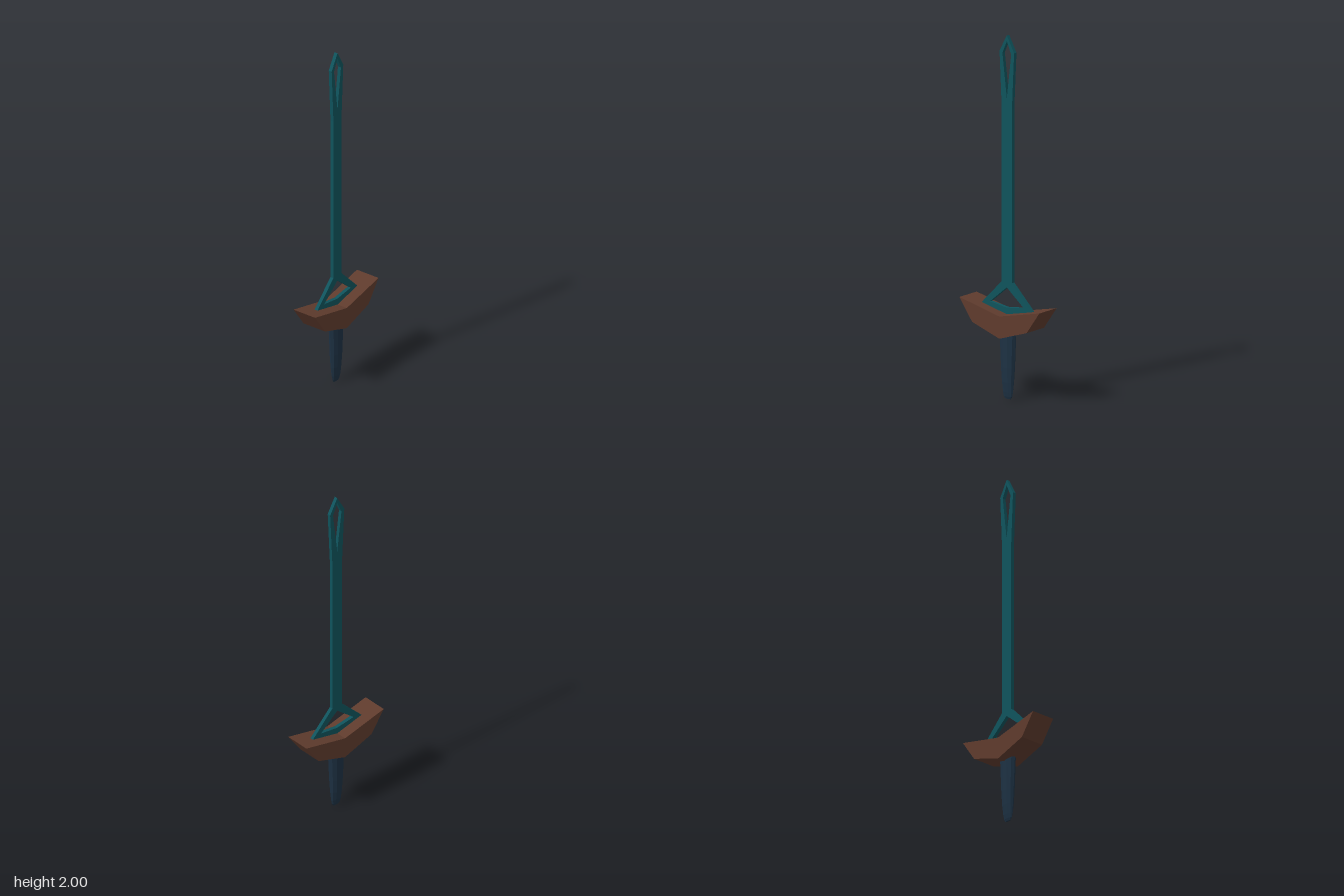
import * as THREE from 'three';

const material = (name, color) => new THREE.MeshStandardMaterial({ name, color });

// Right half of an outline, bottom to top, mirrored into a closed list of points
const mirrored = (half) => [
  ...half,
  ...half.filter(([x]) => x > 0).reverse().map(([x, y]) => [-x, y]),
].map(([x, y]) => new THREE.Vector2(x, y));

// Plate of the given depth, centred on z = 0
function plate(name, mat, depth, half, holes = []) {
  const shape = new THREE.Shape(mirrored(half));
  for (const hole of holes) shape.holes.push(new THREE.Path(mirrored(hole)));
  const geometry = new THREE.ExtrudeGeometry(shape, { depth, bevelEnabled: false });
  geometry.translate(0, 0, -depth / 2);
  const mesh = new THREE.Mesh(geometry, mat);
  mesh.name = name;
  return mesh;
}

// Faceted grip: oval cross-sections given as [y, half width, half depth]
function makeGrip(mat) {
  const rings = [
    [0.005, 0, 0], [0.007, 0.02, 0.004], [0.02, 0.029, 0.009], [0.045, 0.034, 0.014],
    [0.1, 0.039, 0.021], [0.18, 0.044, 0.026], [0.37, 0.054, 0.028], [0.4, 0.054, 0.028], [0.4, 0, 0],
  ];
  const sides = 10;
  const lathe = new THREE.LatheGeometry(
    rings.map(([y, w]) => new THREE.Vector2(w, y)), sides, Math.PI / sides);
  const pos = lathe.attributes.position;
  for (let i = 0; i < pos.count; i++) {
    const [, w, d] = rings[i % rings.length];
    if (w > 0) pos.setZ(i, pos.getZ(i) * d / w);
  }
  const geometry = lathe.toNonIndexed();
  geometry.computeVertexNormals();
  const mesh = new THREE.Mesh(geometry, mat);
  mesh.name = 'grip';
  return mesh;
}

export function createModel() {
  const teal = material('tealMetal', 0x0f535c);
  const brown = material('brownGuard', 0x5f3b2d);
  const navy = material('navyGrip', 0x1d3143);
  const model = new THREE.Group();
  model.name = 'sword';

  // Blade with a forked foot and an eye at the tip
  model.add(plate('blade', teal, 0.02,
    [[0, 0.46], [0.175, 0.508], [0.035, 0.648], [0.035, 1.6], [0.05, 1.91], [0, 2]],
    [
      [[0, 0.508], [0.115, 0.524], [0, 0.619]],
      [[0, 1.655], [0.03, 1.9], [0, 1.968]],
    ]));

  // Boat-shaped crossguard
  model.add(plate('crossguard', brown, 0.145,
    [[0, 0.35], [0.187, 0.412], [0.274, 0.534], [0, 0.472]]));

  model.add(makeGrip(navy));
  return model;
}
